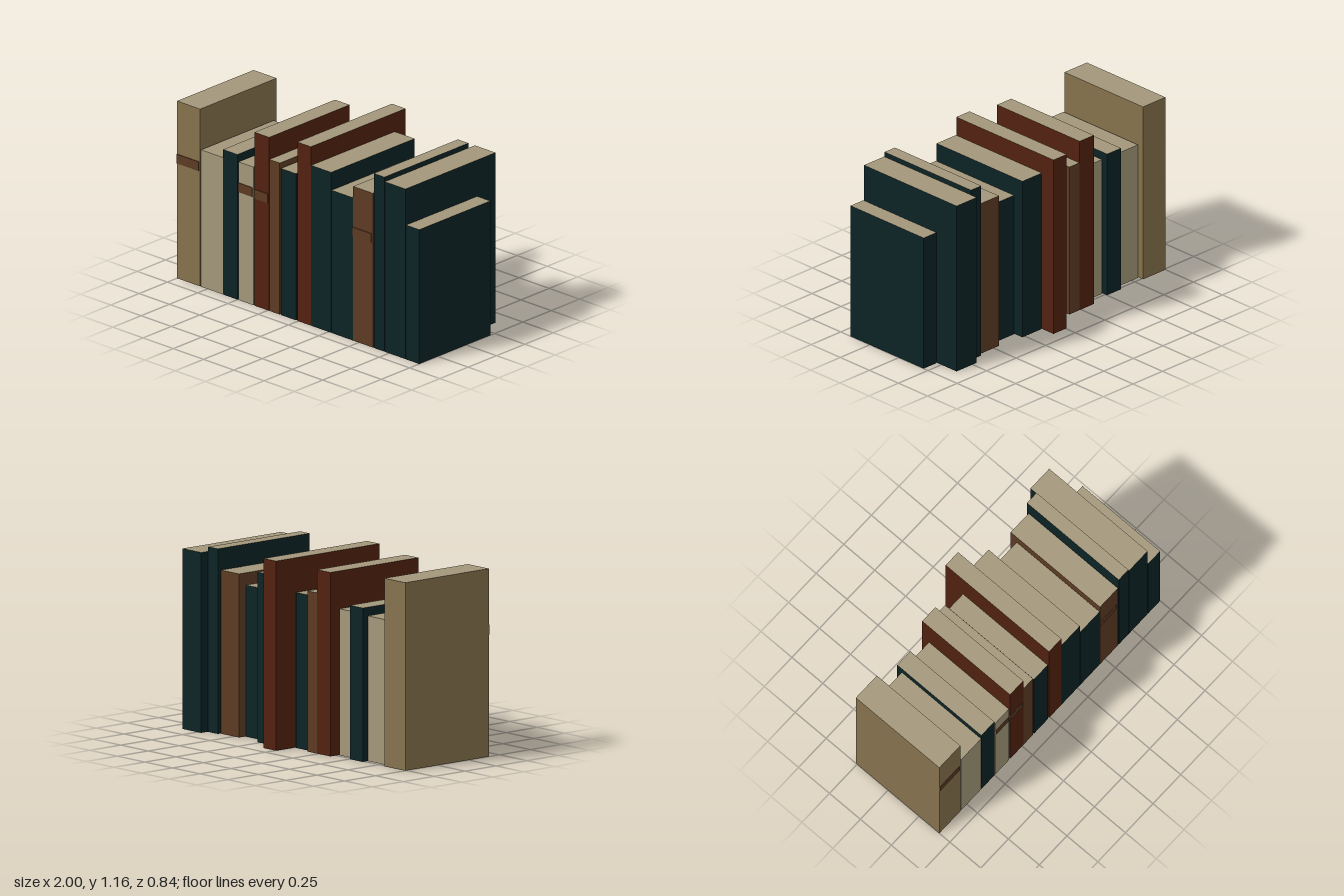
import * as THREE from 'three';

const mat = (name, color) => {
  const m = new THREE.MeshStandardMaterial({ color });
  m.name = name;
  return m;
};

export function createModel() {
  const group = new THREE.Group();
  group.name = 'bookRow';

  const gold = mat('gold cover', 0x86724d);
  const cream = mat('cream cover and pages', 0xa3977a);
  const teal = mat('dark teal cover', 0x0d2325);
  const red = mat('rust red cover', 0x51210f);
  const brown = mat('brown cover and bands', 0x5c3b23);

  const FRONT = 0.415; // spines line up here
  const BAND = 0.005; // band thickness

  // left edge, right edge, height, back z, cover, [band bottom, band right edge]
  const books = [
    [-1.0, -0.81, 1.155, -0.26, gold, [0.75, -0.82]],
    [-0.802, -0.622, 0.892, -0.225, cream],
    [-0.62, -0.502, 0.945, -0.265, teal],
    [-0.493, -0.37, 0.9, -0.23, cream, [0.705, -0.375]],
    [-0.36, -0.24, 1.13, -0.295, red, [0.7, -0.25]],
    [-0.237, -0.152, 0.987, -0.295, brown],
    [-0.143, -0.018, 0.955, -0.27, teal],
    [-0.007, 0.105, 1.165, -0.42, red],
    [0.108, 0.272, 1.045, -0.322, teal],
    [0.277, 0.452, 0.93, -0.255, teal],
    [0.455, 0.618, 1.005, -0.307, brown, [0.68, 0.605]],
    [0.625, 0.712, 1.137, -0.327, teal],
    [0.716, 0.886, 1.108, -0.38, teal],
    [0.892, 1.0, 0.875, -0.213, teal],
  ];

  books.forEach(([x0, x1, h, back, cover, band], i) => {
    const book = new THREE.Group();
    book.name = `book${i + 1}`;

    // block with the page colour on its top face
    const block = new THREE.Mesh(
      new THREE.BoxGeometry(x1 - x0, h, FRONT - back),
      [cover, cover, cream, cover, cover, cover]
    );
    block.name = 'coverAndPages';
    block.position.set((x0 + x1) / 2, h / 2, (FRONT + back) / 2);
    book.add(block);

    // thin raised band across the spine
    if (band) {
      const [y0, right] = band;
      const strip = new THREE.Mesh(new THREE.BoxGeometry(right - x0, 0.06, BAND), brown);
      strip.name = 'spineBand';
      strip.position.set((x0 + right) / 2, y0 + 0.03, FRONT + BAND / 2);
      book.add(strip);
    }
    group.add(book);
  });

  return group;
}
